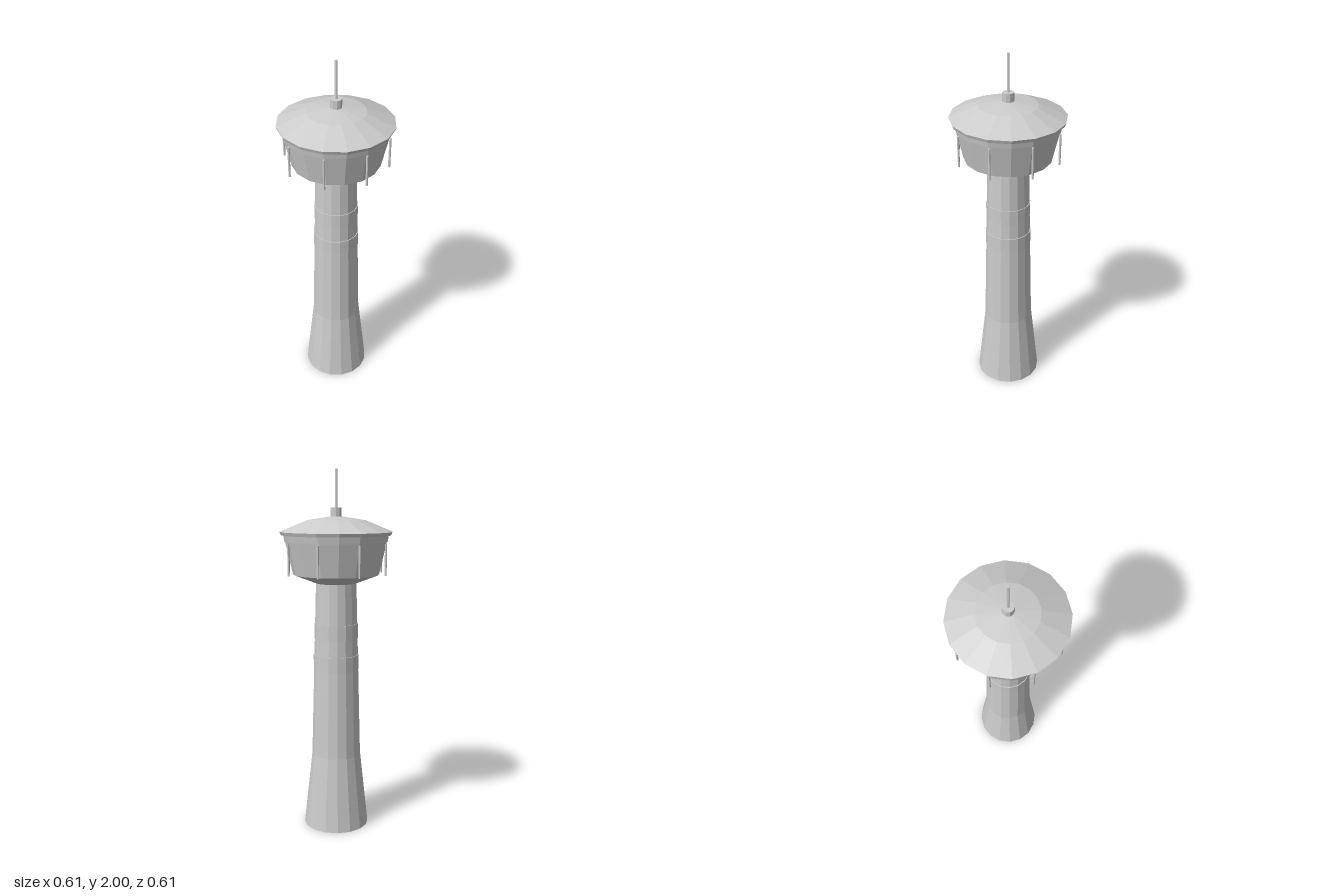
import * as THREE from 'three';

export function createModel() {
  const tower = new THREE.Group();
  tower.name = 'tower';
  const concrete = new THREE.MeshStandardMaterial({ color: 0xcccccc, flatShading: true });
  concrete.name = 'lightGrey';

  const add = (name, geometry, parent = tower) => {
    const mesh = new THREE.Mesh(geometry, concrete);
    mesh.name = name;
    parent.add(mesh);
    return mesh;
  };
  // Faceted solid of revolution from [radius, height] pairs, bottom to top
  const turned = (name, profile, sides = 16) =>
    add(name, new THREE.LatheGeometry(profile.map(([r, y]) => new THREE.Vector2(r, y)), sides));

  // Tapering shaft with a flared foot
  turned('shaft', [[0, 0], [0.183, 0], [0.137, 0.42], [0.111, 1.4]]);

  // Two slim bands around the shaft
  for (const [bottom, top, r] of [[0.91, 0.995, 0.126], [1.085, 1.17, 0.121]]) {
    turned('shaftBand', [[r - 0.02, bottom], [r, bottom], [r, top], [r - 0.02, top]]);
  }

  // Cabin: sloping underside, outward-leaning wall and ledge
  turned('cabin', [[0.1, 1.392], [0.11, 1.392], [0.236, 1.44], [0.277, 1.617]]);
  turned('cabinLedge', [[0.26, 1.617], [0.281, 1.617], [0.287, 1.652], [0.26, 1.652]]);

  // Shallow two-step roof with a thin rim
  turned('roof', [[0.26, 1.652], [0.3, 1.652], [0.307, 1.67], [0.157, 1.732], [0, 1.757]]);

  // Eight rods hanging around the cabin
  const rods = new THREE.Group();
  rods.name = 'hangingRods';
  tower.add(rods);
  const rodGeometry = new THREE.CylinderGeometry(0.006, 0.006, 0.17, 8);
  for (let i = 0; i < 8; i++) {
    const a = (i * Math.PI) / 4;
    add('rod', rodGeometry, rods).position.set(0.28 * Math.sin(a), 1.525, 0.28 * Math.cos(a));
  }

  // Mast and its collar
  const collar = add('mastCollar', new THREE.CylinderGeometry(0.031, 0.031, 0.06, 10));
  collar.position.y = 1.768;
  collar.rotation.y = Math.PI / 2;
  add('mast', new THREE.CylinderGeometry(0.007, 0.007, 0.22, 8)).position.y = 1.89;

  return tower;
}
